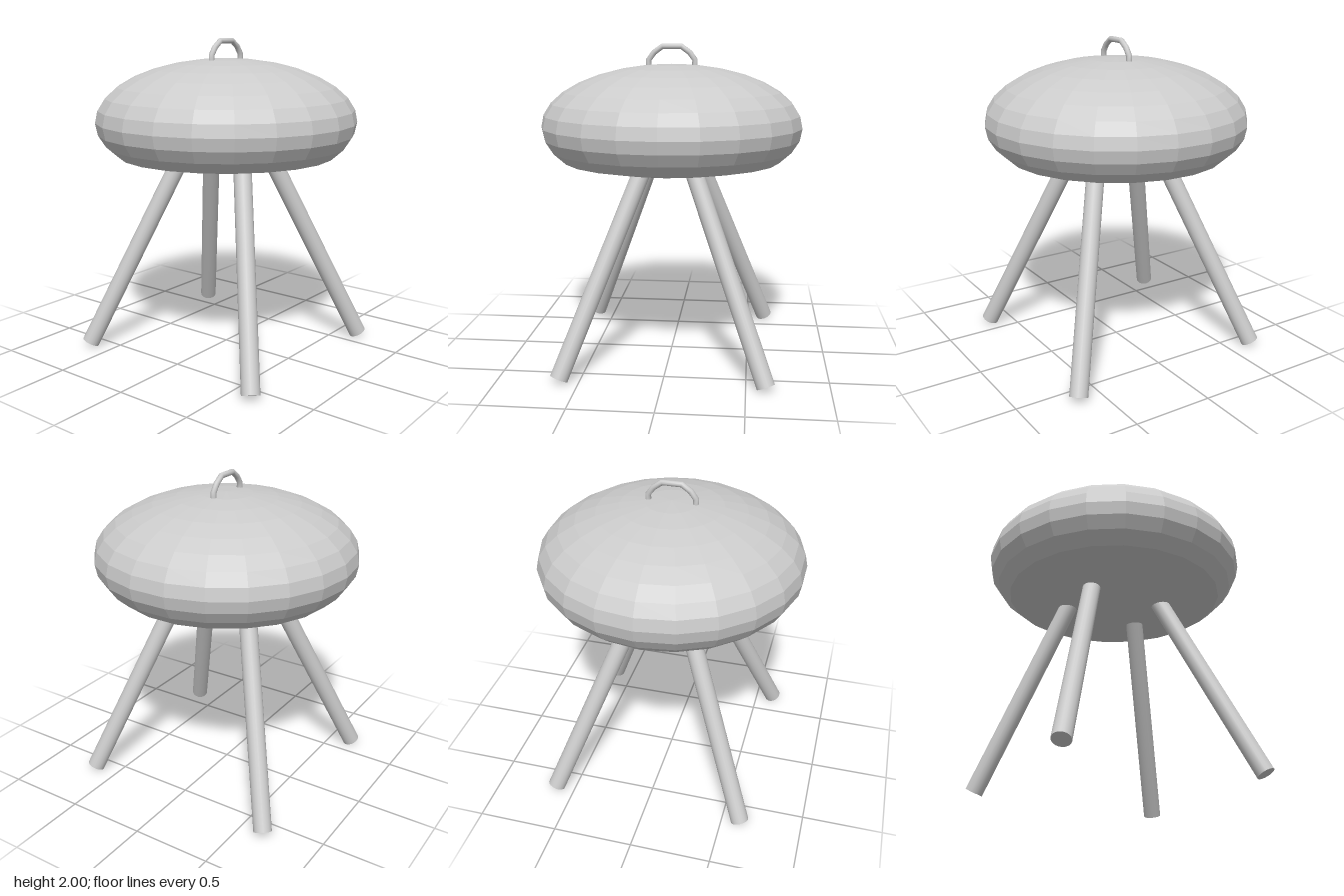
import * as THREE from 'three';

const flat = new THREE.MeshStandardMaterial({ color: 0xcccccc, flatShading: true });
const smooth = new THREE.MeshStandardMaterial({ color: 0xcccccc });

function addMesh(group, name, geometry, material) {
  const mesh = new THREE.Mesh(geometry, material);
  mesh.name = name;
  group.add(mesh);
  return mesh;
}

// Squashed 22-sided sphere whose lower part is replaced by a shallow dish.
function bodyGeometry() {
  const radius = 0.825, height = 0.39, centerY = 1.485, rings = 16;
  const rim = { r: 0.686, y: 1.268 };
  const profile = [];
  for (const k of [0, 0.34, 0.67]) {
    profile.push(new THREE.Vector2(rim.r * k, rim.y - 0.078 * (1 - k * k)));
  }
  for (let i = 11; i >= 0; i--) {
    const a = (i / rings) * Math.PI;
    profile.push(new THREE.Vector2(radius * Math.sin(a), centerY + height * Math.cos(a)));
  }
  return new THREE.LatheGeometry(profile, 22);
}

// Bent rod, sampled exactly at its few control points.
function handleGeometry() {
  const half = [[0.145, 1.86], [0.145, 1.9], [0.112, 1.945], [0.06, 1.982]];
  const points = [
    ...half.map(([x, y]) => new THREE.Vector3(-x, y, 0)),
    ...half.slice().reverse().map(([x, y]) => new THREE.Vector3(x, y, 0)),
  ];
  const curve = new THREE.CatmullRomCurve3(points);
  curve.getUtoTmapping = (u) => u;
  return new THREE.TubeGeometry(curve, points.length - 1, 0.018, 10);
}

export function createModel() {
  const model = new THREE.Group();
  model.name = 'leggedPot';

  addMesh(model, 'body', bodyGeometry(), flat);
  addMesh(model, 'handle', handleGeometry(), smooth);

  // Four splayed legs, their tops buried in the body.
  const up = new THREE.Vector3(0, 1, 0);
  for (const sx of [1, -1]) {
    for (const sz of [1, -1]) {
      const foot = new THREE.Vector3(0.618 * sx, 0.026, 0.653 * sz);
      const top = new THREE.Vector3(0.133 * sx, 1.3, 0.225 * sz);
      const axis = top.clone().sub(foot);
      const name = (sz > 0 ? 'front' : 'back') + (sx > 0 ? 'Left' : 'Right') + 'Leg';
      const leg = addMesh(model, name, new THREE.CylinderGeometry(0.056, 0.056, axis.length(), 20), smooth);
      leg.position.copy(foot).add(top).multiplyScalar(0.5);
      leg.quaternion.setFromUnitVectors(up, axis.normalize());
    }
  }
  return model;
}
